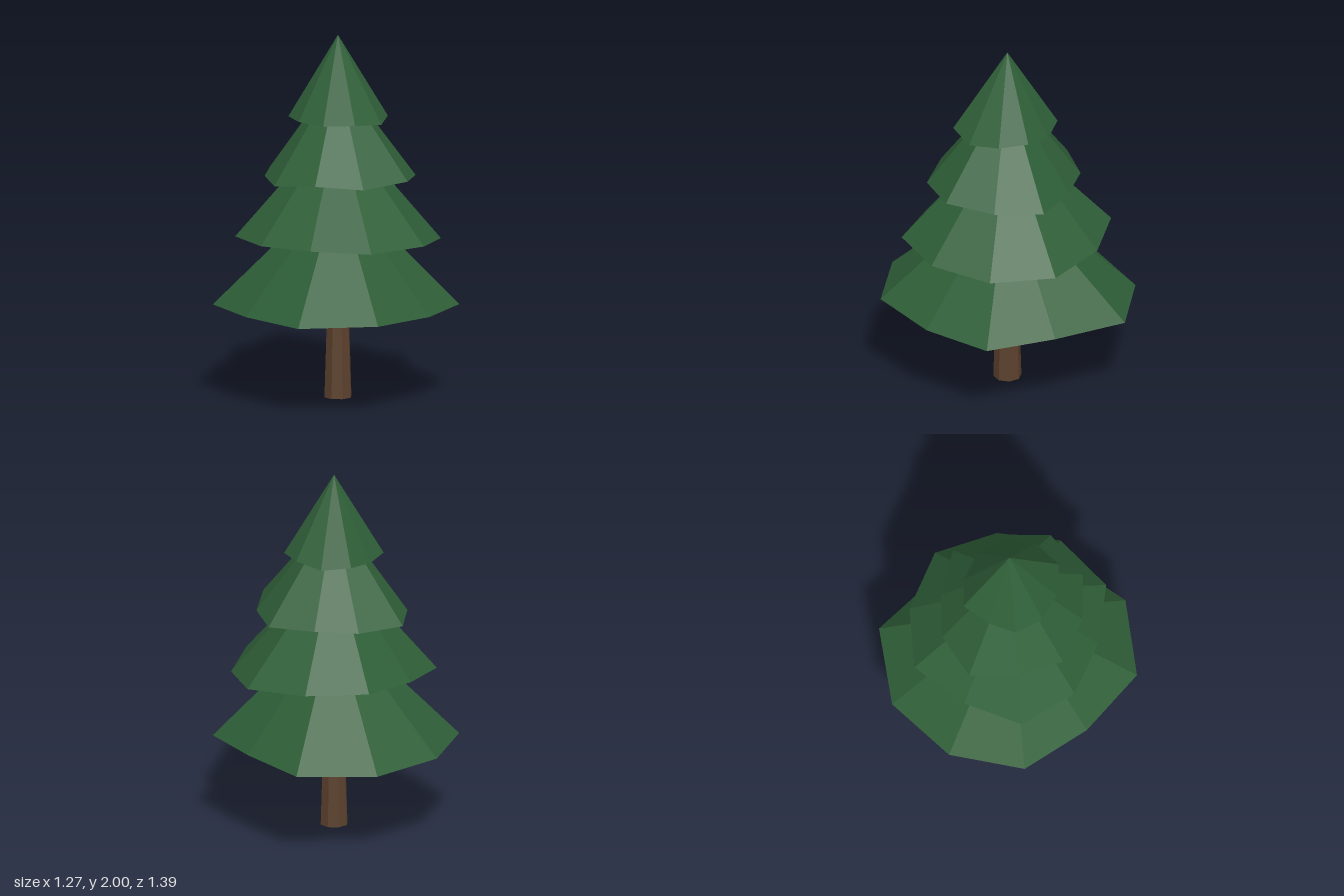
import * as THREE from 'three';

const SIDES = 10;

// One bough tier: a ten-sided cone whose rim corners have their own radius and height.
// Corners run from the front (+z) towards +x.
function makeTier(name, apexY, radii, rimY, material) {
  const geometry = new THREE.ConeGeometry(1, 1, SIDES, 1);
  const pos = geometry.attributes.position;
  const baseY = rimY.reduce((sum, y) => sum + y, 0) / SIDES;
  for (let k = 0; k < pos.count; k++) {
    const x = pos.getX(k), z = pos.getZ(k);
    if (pos.getY(k) > 0) {
      pos.setXYZ(k, 0, apexY, 0);
    } else if (Math.hypot(x, z) < 0.01) {
      pos.setXYZ(k, 0, baseY, 0);
    } else {
      const i = (Math.round(Math.atan2(x, z) / (2 * Math.PI / SIDES)) + SIDES) % SIDES;
      pos.setXYZ(k, x * radii[i], rimY[i], z * radii[i]);
    }
  }
  geometry.computeVertexNormals();
  const mesh = new THREE.Mesh(geometry, material);
  mesh.name = name;
  return mesh;
}

export function createModel() {
  const needles = new THREE.MeshStandardMaterial({ color: 0x2f5f38, flatShading: true });
  needles.name = 'needle green';
  const bark = new THREE.MeshStandardMaterial({ color: 0x5c412d, flatShading: true });
  bark.name = 'bark brown';

  const tree = new THREE.Group();
  tree.name = 'pineTree';

  // Tapered trunk, ending inside the lowest tier
  const trunk = new THREE.Mesh(new THREE.CylinderGeometry(0.058, 0.077, 0.6, 8), bark);
  trunk.name = 'trunk';
  trunk.position.y = 0.3;
  tree.add(trunk);

  // Bough tiers from bottom to top
  const tiers = [
    ['bottomBoughs', 1.18,
      [0.693, 0.61, 0.656, 0.585, 0.718, 0.7, 0.673, 0.677, 0.615, 0.703],
      [0.525, 0.515, 0.51, 0.515, 0.51, 0.5, 0.505, 0.51, 0.515, 0.515]],
    ['lowerBoughs', 1.53,
      [0.578, 0.573, 0.557, 0.59, 0.55, 0.567, 0.504, 0.556, 0.516, 0.49],
      [0.9, 0.9, 0.875, 0.896, 0.915, 0.928, 0.91, 0.886, 0.895, 0.9]],
    ['upperBoughs', 1.79,
      [0.44, 0.464, 0.42, 0.447, 0.375, 0.4, 0.45, 0.397, 0.425, 0.403],
      [1.228, 1.245, 1.225, 1.22, 1.225, 1.22, 1.22, 1.22, 1.215, 1.24]],
    ['topBoughs', 2,
      [0.296, 0.289, 0.27, 0.257, 0.249, 0.274, 0.238, 0.268, 0.262, 0.26],
      [1.555, 1.537, 1.553, 1.558, 1.532, 1.555, 1.54, 1.55, 1.55, 1.543]],
  ];
  for (const [name, apexY, radii, rimY] of tiers) {
    tree.add(makeTier(name, apexY, radii, rimY, needles));
  }

  // Centre the uneven outline over the origin
  tree.position.set(0.007, 0, 0.003);
  const model = new THREE.Group();
  model.name = 'model';
  model.add(tree);
  return model;
}
